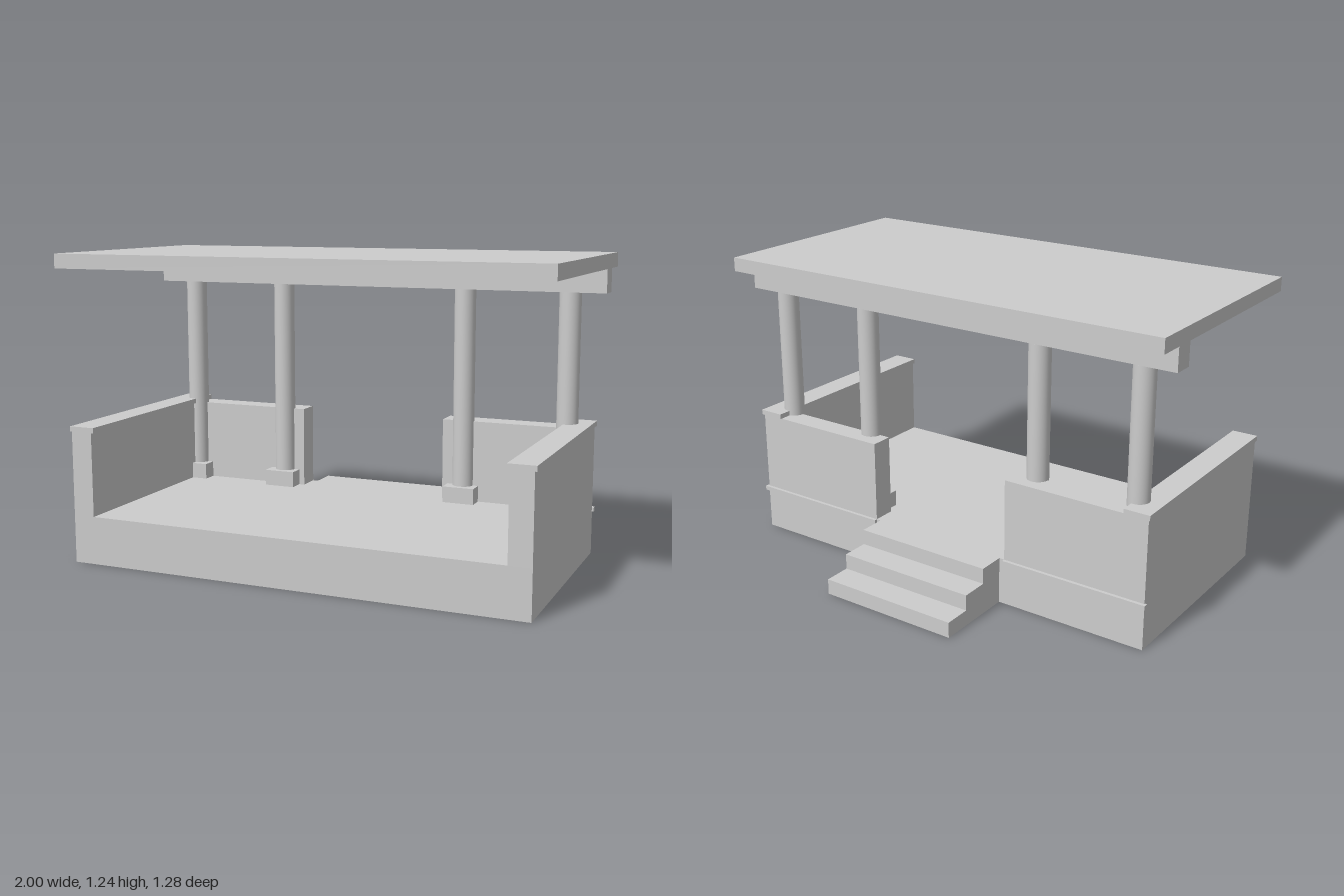
import * as THREE from 'three';

export function createModel() {
  const model = new THREE.Group();
  model.name = 'porch';
  const grey = new THREE.MeshStandardMaterial({ color: 0xcccccc });
  grey.name = 'light grey';

  // Box given by its limits on each axis
  function block(name, x0, x1, y0, y1, z0, z1) {
    const mesh = new THREE.Mesh(new THREE.BoxGeometry(x1 - x0, y1 - y0, z1 - z0), grey);
    mesh.position.set((x0 + x1) / 2, (y0 + y1) / 2, (z0 + z1) / 2);
    mesh.name = name;
    model.add(mesh);
  }

  // The same box on both sides, limits measured outwards from the middle line
  const mid = -0.003;
  function pair(name, inner, outer, y0, y1, z0, z1) {
    block(name + 'Left', mid + inner, mid + outer, y0, y1, z0, z1);
    block(name + 'Right', mid - outer, mid - inner, y0, y1, z0, z1);
  }

  const floor = 0.195, wallTop = 0.535, front = 0.64, back = -0.3;
  const columnZ = -0.207;

  // Floor slab
  block('floorSlab', mid - 0.943, mid + 0.943, 0, floor, back, front);

  // Parapet walls, side copings and the moulding along the back
  pair('sideWall', 0.853, 0.943, floor, wallTop, back, front);
  pair('sideCoping', 0.843, 0.951, wallTop, 0.556, -0.307, front);
  pair('backWall', 0.323, 0.853, floor, wallTop, back, -0.205);
  pair('backMoulding', 0.323, 0.951, 0.177, floor, -0.314, back + 0.005);

  // Steps at the back
  [[0.195, -0.412], [0.13, -0.526], [0.065, -0.64]].forEach(([top, edge], i) => {
    block('step' + (i + 1), -0.303, 0.3, 0, top, edge, back);
  });

  // Columns on square plinths
  const shaft = new THREE.CylinderGeometry(0.044, 0.044, 1.085 - 0.26, 32);
  for (const side of [-1, 1]) {
    for (const offset of [0.414, 0.851]) {
      const x = mid + side * offset;
      const column = new THREE.Mesh(shaft, grey);
      column.position.set(x, (0.26 + 1.085) / 2, columnZ);
      column.name = 'column';
      model.add(column);
      block('plinth', x - 0.067, x + 0.067, floor, 0.262, columnZ - 0.067, columnZ + 0.067);
    }
  }

  // Beam and roof slab
  block('beam', -1, 1, 1.085, 1.18, -0.25, -0.164);
  block('roof', -1, 1, 1.18, 1.238, -0.36, front);

  return model;
}
